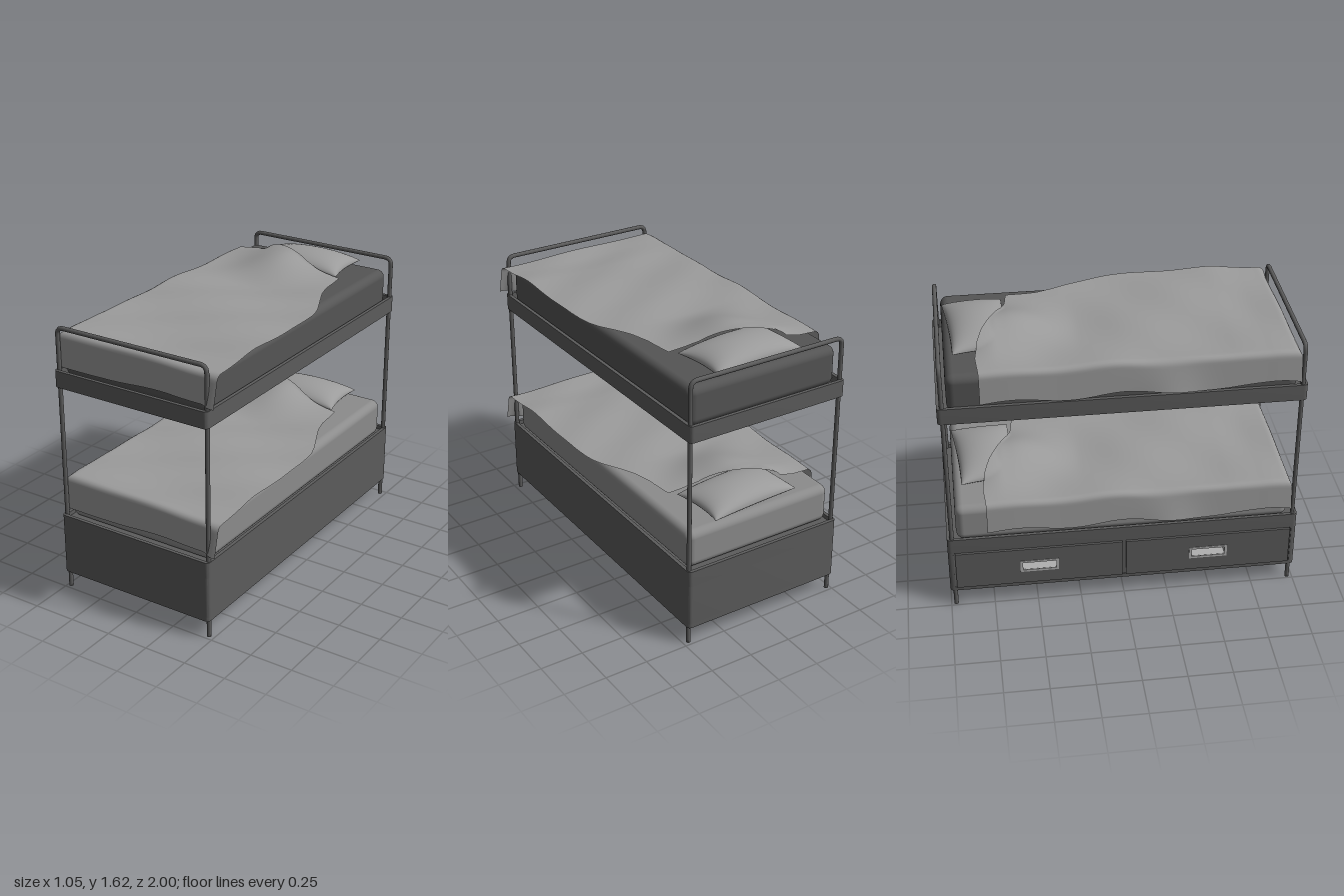
import * as THREE from 'three';
import { toCreasedNormals } from 'three/addons/utils/BufferGeometryUtils.js';
import { RoundedBoxGeometry } from 'three/addons/geometries/RoundedBoxGeometry.js';

const X0 = -0.497, X1 = 0.483, MID = (X0 + X1) / 2; // frame sides
const WALL = 0.02;
const paint = (color, side = THREE.FrontSide) => new THREE.MeshStandardMaterial({ color, side });
const metal = paint(0x5c5c5c);
const handle = paint(0xb0b0b0);
const lightFoam = paint(0x8c8c8c);
const darkFoam = paint(0x555555);
const cloth = paint(0x9b9b9b, THREE.DoubleSide);
const { smoothstep, lerp, clamp } = THREE.MathUtils;

function add(parent, name, geometry, x = 0, y = 0, z = 0, material = metal) {
  const mesh = new THREE.Mesh(geometry, material);
  mesh.name = name;
  mesh.position.set(x, y, z);
  parent.add(mesh);
  return mesh;
}

// Grid surface: rule(u, v) returns [x, y, z]
function sheet(nu, nv, rule) {
  const geometry = new THREE.PlaneGeometry(1, 1, nu, nv);
  const { position, uv } = geometry.attributes;
  for (let i = 0; i < position.count; i++) position.setXYZ(i, ...rule(uv.getX(i), 1 - uv.getY(i)));
  geometry.computeVertexNormals();
  return geometry;
}

// Straight-line interpolation through [key, value] pairs
function curveAt(points, k) {
  for (let i = 1; i < points.length; i++) {
    const [a, va] = points[i - 1], [b, vb] = points[i];
    if (k <= b) return lerp(va, vb, clamp((k - a) / (b - a), 0, 1));
  }
  return points[points.length - 1][1];
}

function roundedRect(Type, x0, x1, l, r) {
  const s = new Type();
  s.moveTo(x0 + r, -l).lineTo(x1 - r, -l).quadraticCurveTo(x1, -l, x1, -l + r);
  s.lineTo(x1, l - r).quadraticCurveTo(x1, l, x1 - r, l);
  s.lineTo(x0 + r, l).quadraticCurveTo(x0, l, x0, l - r);
  s.lineTo(x0, -l + r).quadraticCurveTo(x0, -l, x0 + r, -l);
  return s;
}

function extrudeUp(shape, height) {
  const g = new THREE.ExtrudeGeometry(shape, { depth: height, bevelEnabled: false, curveSegments: 5 });
  return toCreasedNormals(g.rotateX(-Math.PI / 2), 0.6);
}

// Closed rectangular rail
function ring(height) {
  const s = roundedRect(THREE.Shape, X0, X1, 1, 0.025);
  s.holes.push(roundedRect(THREE.Path, X0 + WALL, X1 - WALL, 1 - WALL, 0.008));
  return extrudeUp(s, height);
}

// Three-sided wall, open on the drawer side
function openWall(height) {
  const s = new THREE.Shape(), r = 0.025, e = 0.97, i = 1 - WALL;
  s.moveTo(X0, e).lineTo(X0, 1 - r).quadraticCurveTo(X0, 1, X0 + r, 1);
  s.lineTo(X1 - r, 1).quadraticCurveTo(X1, 1, X1, 1 - r);
  s.lineTo(X1, -1 + r).quadraticCurveTo(X1, -1, X1 - r, -1);
  s.lineTo(X0 + r, -1).quadraticCurveTo(X0, -1, X0, -1 + r).lineTo(X0, -e);
  for (const [x, z] of [[X0 + WALL, -e], [X0 + WALL, -i], [X1 - WALL, -i], [X1 - WALL, i], [X0 + WALL, i], [X0 + WALL, e]]) s.lineTo(x, z);
  return extrudeUp(s, height);
}

// Upright plate with a rectangular hole, thickness towards -x
function plate(w, h, holeW, holeH, depth) {
  const rect = (s, a, b) => s.moveTo(-a, -b).lineTo(a, -b).lineTo(a, b).lineTo(-a, b).lineTo(-a, -b);
  const s = rect(new THREE.Shape(), w / 2, h / 2);
  s.holes.push(rect(new THREE.Path(), holeW / 2, holeH / 2));
  return new THREE.ExtrudeGeometry(s, { depth, bevelEnabled: false }).rotateY(-Math.PI / 2);
}

function drawer() {
  const g = new THREE.Group();
  g.name = 'drawer';
  add(g, 'drawerFront', plate(0.95, 0.237, 0.2, 0.06, 0.028), -0.481);
  add(g, 'handleTrim', plate(0.22, 0.076, 0.19, 0.05, 0.004), -0.508, 0, 0, handle);
  // recessed cup with a sloping back behind the trim
  add(g, 'cupBack', new THREE.BoxGeometry(0.005, 0.07, 0.206), -0.45, 0, 0, handle).rotation.z = 0.35;
  add(g, 'cupTop', new THREE.BoxGeometry(0.04, 0.004, 0.206), -0.481, 0.031, 0, handle);
  add(g, 'cupBottom', new THREE.BoxGeometry(0.064, 0.004, 0.206), -0.469, -0.031, 0, handle);
  for (const s of [-1, 1]) add(g, 'cupSide', new THREE.BoxGeometry(0.05, 0.06, 0.004), -0.476, 0, s * 0.101, handle);
  return g;
}

// End frame: one bent tube forms two posts and the top bar
function endFrame() {
  const g = new THREE.Group(), a = -0.48, b = 0.467, top = 1.574, r = 0.04;
  const v = (x, y) => new THREE.Vector3(x, y, 0);
  const path = new THREE.CurvePath();
  path.add(new THREE.LineCurve3(v(a, 0), v(a, top - r)));
  path.add(new THREE.QuadraticBezierCurve3(v(a, top - r), v(a, top), v(a + r, top)));
  path.add(new THREE.LineCurve3(v(a + r, top), v(b - r, top)));
  path.add(new THREE.QuadraticBezierCurve3(v(b - r, top), v(b, top), v(b, top - r)));
  path.add(new THREE.LineCurve3(v(b, top - r), v(b, 0)));
  g.name = 'endFrame';
  add(g, 'postTube', new THREE.TubeGeometry(path, 300, 0.0125, 12));
  for (const x of [a, b]) add(g, 'footCap', new THREE.CylinderGeometry(0.013, 0.013, 0.01, 12), x, 0.005);
  return g;
}

// Pillow, heights measured from the mattress top
const PX = 0.01, PZ = -0.75, TILT = 0.075, HW = 0.28, HL = 0.168;
const puff = (p, q) => Math.pow(Math.max(0, (1 - p * p) * (1 - q * q)), 0.45);
function pillowTop(x, z) {
  const dx = x - PX, dz = z - PZ;
  const p = (dx * Math.cos(TILT) - dz * Math.sin(TILT)) / HW;
  const q = (dx * Math.sin(TILT) + dz * Math.cos(TILT)) / HL;
  return Math.abs(p) < 1 && Math.abs(q) < 1 ? 0.022 + 0.083 * puff(p, q) : 0;
}
const pillowSide = (sign) => sheet(28, 20, (u, v) => {
  const p = Math.sin((u - 0.5) * Math.PI), q = Math.sin((v - 0.5) * Math.PI);
  const y = 0.022 + (sign > 0 ? 0.083 : -0.025) * puff(p, q);
  return [HW * p * (1 - 0.07 * (1 - q * q)), y, HL * q * (1 - 0.05 * (1 - p * p))];
});

// Blanket: outline curves, soft relief, and folds over one side and the foot
const HEAD = [[-0.49, -0.77], [-0.35, -0.78], [-0.25, -0.765], [-0.15, -0.73], [0, -0.66], [0.1, -0.615], [0.2, -0.59], [0.34, -0.575]];
const SIDE = [[-0.575, 0.34], [-0.4, 0.355], [-0.3, 0.385], [-0.2, 0.43], [-0.1, 0.475], [-0.03, 0.5], [0.03, 0.512], [0.12, 0.52], [1, 0.522]];
function relief(x, z) {
  const spread = x < -0.06 ? 0.23 : 0.2;
  const bump = 0.084 * Math.exp(-(((x + 0.06) / spread) ** 2)) * (1 - smoothstep(z, -0.6, -0.2)) * smoothstep(z, -0.86, -0.66);
  const ridge = 0.009 * smoothstep(z, -0.25, 0.05) * (1 - smoothstep(z, 0.6, 0.8));
  const waves = 0.006 * Math.sin(7 * z - 5 * x) + 0.004 * Math.sin(13 * z + 9 * x + 1);
  return Math.max(0.022 + bump + ridge + waves, pillowTop(x, z) + 0.01);
}
function fold(e) {
  const r = 0.03, angle = clamp(e / r, 0, Math.PI / 2);
  return [r * Math.sin(angle), r * (1 - Math.cos(angle)) + Math.max(0, e - r * Math.PI / 2)];
}
function blanketPoint(u, v) {
  const tEnd = 1.136 - 0.02 * smoothstep(u, 0.45, 0.75);
  const sRight = curveAt(SIDE, lerp(-0.575, tEnd, v));
  const sLeft = -0.66 + 0.012 * Math.sin(v * 17);
  const s = lerp(sLeft, sRight, u);
  const t = lerp(curveAt(HEAD, s), tEnd, v);
  const [outX, dropX] = fold(-0.46 - s), [outZ, dropZ] = fold(t - 0.925);
  const flareX = dropX * (0.05 + 0.14 * Math.exp(-(((t - 0.25) / 0.15) ** 2)));
  const flareZ = dropZ * (0.04 + 0.2 * smoothstep(s, 0.42, 0.5));
  const x = Math.max(s, -0.46) - outX - flareX;
  const z = Math.min(t, 0.925) + outZ + flareZ;
  return [x, relief(x, z) - Math.max(dropX, dropZ), z];
}

function bedding(topY, foam) {
  const g = new THREE.Group();
  g.name = 'bedding';
  g.position.y = topY;
  add(g, 'mattress', new RoundedBoxGeometry(0.93, 0.225, 1.89, 5, 0.045), MID - 0.003, -0.1125, 0, foam);
  const pillow = new THREE.Group();
  pillow.name = 'pillow';
  pillow.position.set(PX, 0, PZ);
  pillow.rotation.y = TILT;
  for (const s of [1, -1]) add(pillow, s > 0 ? 'pillowTop' : 'pillowUnderside', pillowSide(s), 0, 0, 0, cloth);
  g.add(pillow);
  add(g, 'blanket', sheet(90, 130, blanketPoint), 0, 0, 0, cloth);
  return g;
}

export function createModel() {
  const model = new THREE.Group();
  model.name = 'bunkBed';
  // lower storage base, open underneath
  add(model, 'baseTopRail', ring(0.093), 0, 0.372);
  add(model, 'baseWalls', openWall(0.242), 0, 0.13);
  add(model, 'baseBottomRail', ring(0.025), 0, 0.105);
  add(model, 'drawerDivider', new THREE.BoxGeometry(0.014, 0.242, 0.03), X0 + 0.012, 0.251);
  for (const s of [-1, 1]) {
    const d = drawer();
    d.position.set(0, 0.252, s * 0.486);
    model.add(d);
  }
  // upper rail
  add(model, 'upperRail', ring(0.095), 0, 1.24);
  // bed boards and bedding on both levels
  for (const [topY, foam] of [[0.665, lightFoam], [1.515, darkFoam]]) {
    add(model, 'bedBoard', new THREE.BoxGeometry(X1 - X0 - 0.03, 0.02, 1.965), MID, topY - 0.234);
    model.add(bedding(topY, foam));
  }
  for (const z of [-0.972, 0.972]) {
    const frame = endFrame();
    frame.position.z = z;
    model.add(frame);
  }
  return model;
}
